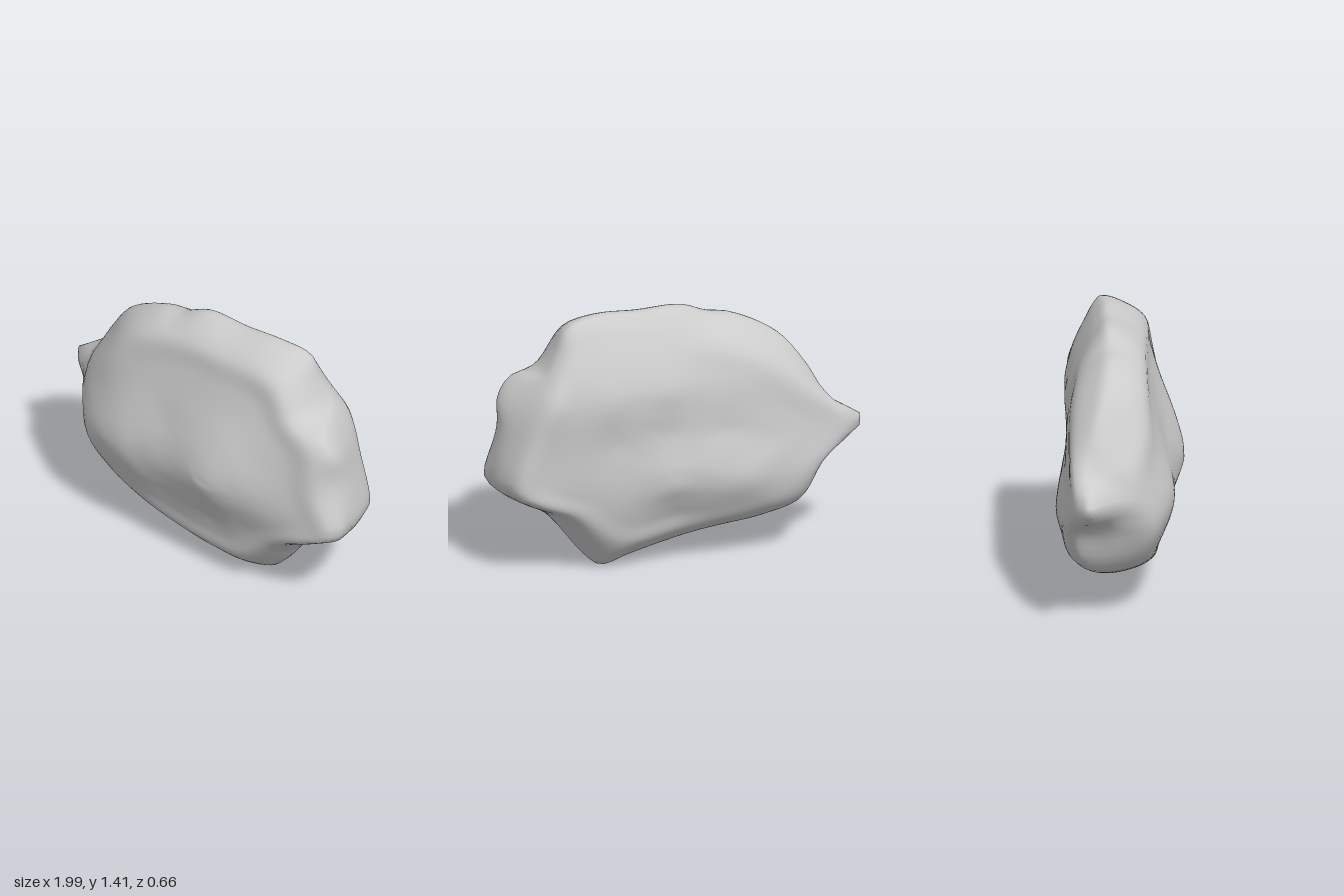
import * as THREE from 'three';
import { mergeVertices } from 'three/addons/utils/BufferGeometryUtils.js';

const CX = 0.12, CY = 0.66, SIDES = 112, STEPS = 5;

// Loops of [x, y, z] around the slab, counter-clockwise from the right
const frontRim = [
  [0.95, 0.51, 0.17], [0.87, 0.75, 0.17], [0.82, 0.98, 0.16], [0.68, 1.1, 0.14], [0.54, 1.28, 0.12],
  [0.2, 1.3, 0.12], [-0.1, 1.28, 0.12], [-0.38, 1.19, 0.13], [-0.56, 1.0, 0.14], [-0.73, 0.8, 0.1],
  [-0.68, 0.5, 0.17], [-0.55, 0.3, 0.13], [-0.3, 0.23, 0.17], [0, 0.17, 0.18], [0.2, 0.15, 0.18],
  [0.38, 0.16, 0.18], [0.6, 0.33, 0.19], [0.83, 0.44, 0.19],
];
const outline = [
  [0.99, 0.51, 0.02], [0.945, 0.8, 0], [0.93, 0.96, 0.06], [0.85, 1.07, 0.05], [0.74, 1.125, -0.1],
  [0.67, 1.25, -0.1], [0.61, 1.37, -0.12], [0.42, 1.41, -0.09], [0.2, 1.4, -0.08], [-0.04, 1.405, -0.07],
  [-0.2, 1.34, -0.06], [-0.3, 1.33, -0.06], [-0.56, 1.2, -0.08], [-0.7, 1.03, -0.12], [-0.82, 0.83, -0.14],
  [-0.99, 0.72, -0.15], [-0.98, 0.65, -0.15], [-0.77, 0.53, -0.18], [-0.66, 0.3, -0.17], [-0.47, 0.2, -0.1],
  [-0.15, 0.14, -0.05], [0.25, 0.03, -0.02], [0.41, 0, -0.06], [0.5, 0.07, -0.06], [0.72, 0.33, -0.04],
  [0.96, 0.46, 0.02],
];
const backRim = [
  [0.9, 0.52, -0.25], [0.83, 0.78, -0.26], [0.74, 1.0, -0.28], [0.66, 1.12, -0.25], [0.54, 1.27, -0.2],
  [0.2, 1.25, -0.2], [-0.1, 1.23, -0.21], [-0.4, 1.13, -0.24], [-0.62, 0.97, -0.25], [-0.87, 0.71, -0.24],
  [-0.71, 0.5, -0.28], [-0.59, 0.35, -0.27], [-0.35, 0.27, -0.24], [0, 0.21, -0.2], [0.35, 0.17, -0.22],
  [0.6, 0.35, -0.25], [0.82, 0.45, -0.26],
];

// Heights of the swells and hollows within each broad face
const frontSwells = [
  [-0.5, 0.6, 0.265], [-0.3, 0.58, 0.285], [0, 0.58, 0.29], [0.24, 0.6, 0.325], [0.55, 0.58, 0.255],
  [-0.5, 0.8, 0.21], [-0.1, 0.85, 0.23], [0.3, 0.88, 0.26], [0.6, 0.85, 0.205], [-0.3, 1.05, 0.17],
  [0.1, 1.07, 0.18], [0.4, 1.07, 0.18], [-0.4, 0.42, 0.24], [-0.1, 0.38, 0.23], [0.2, 0.36, 0.225],
  [0.45, 0.38, 0.215],
];
const backSwells = [
  [-0.36, 0.45, -0.33], [-0.18, 0.48, -0.33], [-0.5, 0.72, -0.285], [-0.2, 0.75, -0.29], [0.1, 0.78, -0.285],
  [0.4, 0.75, -0.28], [0.65, 0.72, -0.28], [0.1, 1.03, -0.295], [0.45, 1.03, -0.3], [-0.3, 0.98, -0.28],
  [0.08, 0.48, -0.315], [0.35, 0.4, -0.275], [0.6, 0.55, -0.275], [0.05, 0.33, -0.245],
];

// Smooth surface z(x, y) through scattered points (thin-plate spline)
function fitSurface(points) {
  const n = points.length, size = n + 3;
  const basis = (x, y) => [...points.map(([px, py]) => {
    const r2 = (x - px) ** 2 + (y - py) ** 2;
    return r2 > 0 ? r2 * Math.log(r2) : 0;
  }), 1, x, y];
  const m = points.map(([x, y, z]) => [...basis(x, y), z]);
  for (const f of [() => 1, p => p[0], p => p[1]]) m.push([...points.map(f), 0, 0, 0, 0]);
  for (let c = 0; c < size; c++) {
    let best = c;
    for (let r = c + 1; r < size; r++) if (Math.abs(m[r][c]) > Math.abs(m[best][c])) best = r;
    [m[c], m[best]] = [m[best], m[c]];
    for (let r = 0; r < size; r++) {
      if (r === c) continue;
      const k = m[r][c] / m[c][c];
      for (let q = c; q <= size; q++) m[r][q] -= k * m[c][q];
    }
  }
  const weights = m.map((row, i) => row[size] / row[i]);
  return (x, y) => basis(x, y).reduce((sum, b, i) => sum + b * weights[i], 0);
}

// Resample a loop at equal angles around the slab's axis
function sampleLoop(loop) {
  const curve = new THREE.CatmullRomCurve3(loop.map(p => new THREE.Vector3(...p)), true);
  const pts = curve.getPoints(1500);
  return Array.from({ length: SIDES }, (_, j) => {
    const a = (j / SIDES) * Math.PI * 2, c = Math.cos(a), s = Math.sin(a);
    let best = pts[0], bestCos = -2;
    for (const p of pts) {
      const dx = p.x - CX, dy = p.y - CY;
      const d = (dx * c + dy * s) / Math.hypot(dx, dy);
      if (d > bestCos) { bestCos = d; best = p; }
    }
    return best;
  });
}

// Rings filling a broad face, from its centre out to its rim
function faceRings(loop, swells) {
  const height = fitSurface([...loop, ...swells]), rim = sampleLoop(loop);
  return [0, 0.06, 0.2, 0.4, 0.6, 0.8, 1].map(s => rim.map(p => {
    const x = CX + (p.x - CX) * s, y = CY + (p.y - CY) * s;
    return new THREE.Vector3(x, y, s < 1 ? height(x, y) : p.z);
  }));
}

// Rounded flank halfway between a rim and the outline
function flankRing(rim, edge, bulge) {
  return rim.map((p, j) => {
    const q = p.clone().lerp(edge[j], 0.5);
    const out = new THREE.Vector3(q.x - CX, q.y - CY, 0).normalize();
    return q.addScaledVector(out, bulge(edge[j]));
  });
}

function makeStone() {
  const front = faceRings(frontRim, frontSwells);
  const back = faceRings(backRim, backSwells).reverse();
  const edge = sampleLoop(outline);
  // The front flank stays hollow beside the left spur
  const frontFlank = flankRing(front.at(-1), edge, p => 0.026 - 0.04 * THREE.MathUtils.smoothstep(-p.x, 0.78, 0.95));
  const backFlank = flankRing(back[0], edge, () => 0.022);
  const rings = [...front, frontFlank, edge, backFlank, ...back];
  const rows = (rings.length - 1) * STEPS;
  const pos = [], index = [];

  // Splines run from the front centre over the edge to the back centre
  const ribs = edge.map((_, j) => new THREE.CatmullRomCurve3(rings.map(r => r[j]), false, 'centripetal'));
  for (let i = 0; i <= rows; i++) {
    for (const rib of ribs) {
      const p = rib.getPoint(i / rows);
      pos.push(p.x, Math.max(0, p.y), p.z);
    }
  }
  for (let i = 0; i < rows; i++) {
    for (let j = 0; j < SIDES; j++) {
      const a = i * SIDES + j, b = i * SIDES + (j + 1) % SIDES, c = a + SIDES, d = b + SIDES;
      if (i > 0) index.push(a, c, b);
      if (i < rows - 1) index.push(c, d, b);
    }
  }
  const geo = new THREE.BufferGeometry();
  geo.setAttribute('position', new THREE.Float32BufferAttribute(pos, 3));
  geo.setIndex(index);
  const welded = mergeVertices(geo, 1e-5);
  welded.computeVertexNormals();
  return welded;
}

export function createModel() {
  const group = new THREE.Group();
  group.name = 'rock';
  const stone = new THREE.Mesh(makeStone(), new THREE.MeshStandardMaterial({ color: 0xcccccc }));
  stone.name = 'stoneSlab';
  group.add(stone);
  return group;
}
